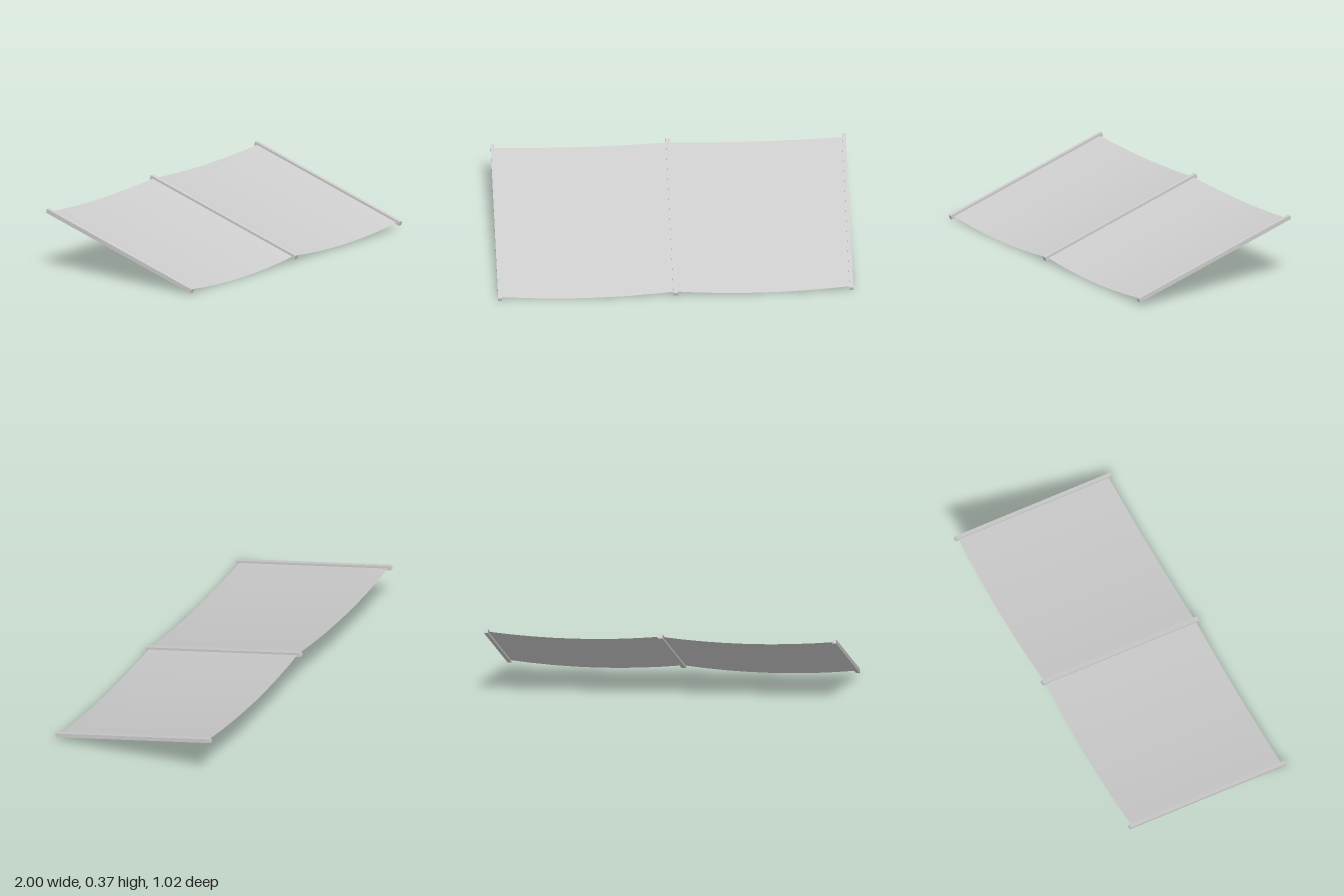
import * as THREE from 'three';

const material = new THREE.MeshStandardMaterial({ color: 0xcccccc });
const clothMaterial = new THREE.MeshStandardMaterial({ color: 0xcccccc, side: THREE.DoubleSide });

// Sheet stretched between two bars, sagging and widening slightly at mid-span
function makeSheet(centreX, width) {
  const length = 1.022, sag = 0.027, bulge = 0.007;
  const geometry = new THREE.PlaneGeometry(width, length, 8, 8).rotateX(-Math.PI / 2);
  const p = geometry.attributes.position;
  for (let i = 0; i < p.count; i++) {
    const u = p.getX(i) / (width / 2);
    const v = p.getZ(i) / (length / 2);
    const droop = 1 - u * u;
    p.setY(i, -sag * droop);
    p.setZ(i, p.getZ(i) + bulge * droop * v);
  }
  geometry.computeVertexNormals();
  const sheet = new THREE.Mesh(geometry, clothMaterial);
  sheet.position.x = centreX;
  return sheet;
}

export function createModel() {
  const model = new THREE.Group();
  model.name = 'slopedAwning';

  // Whole assembly slopes down to the front, with a very slight roll
  const slope = new THREE.Group();
  slope.name = 'slopedFrame';
  slope.position.set(0, 0.194, -0.005);
  slope.rotation.set(THREE.MathUtils.degToRad(18), 0, 0.0095);
  model.add(slope);

  // Three parallel support bars
  const bars = [['rightBar', -0.989, 0.022], ['middleBar', 0, 0.027], ['leftBar', 0.989, 0.022]];
  for (const [name, x, width] of bars) {
    const bar = new THREE.Mesh(new THREE.BoxGeometry(width, 0.024, 1.06), material);
    bar.name = name;
    bar.position.x = x;
    slope.add(bar);
  }

  // Two sagging sheets between the bars
  for (const side of [-1, 1]) {
    const sheet = makeSheet(side * 0.4945, 0.989);
    sheet.name = side < 0 ? 'rightSheet' : 'leftSheet';
    slope.add(sheet);
  }
  return model;
}
